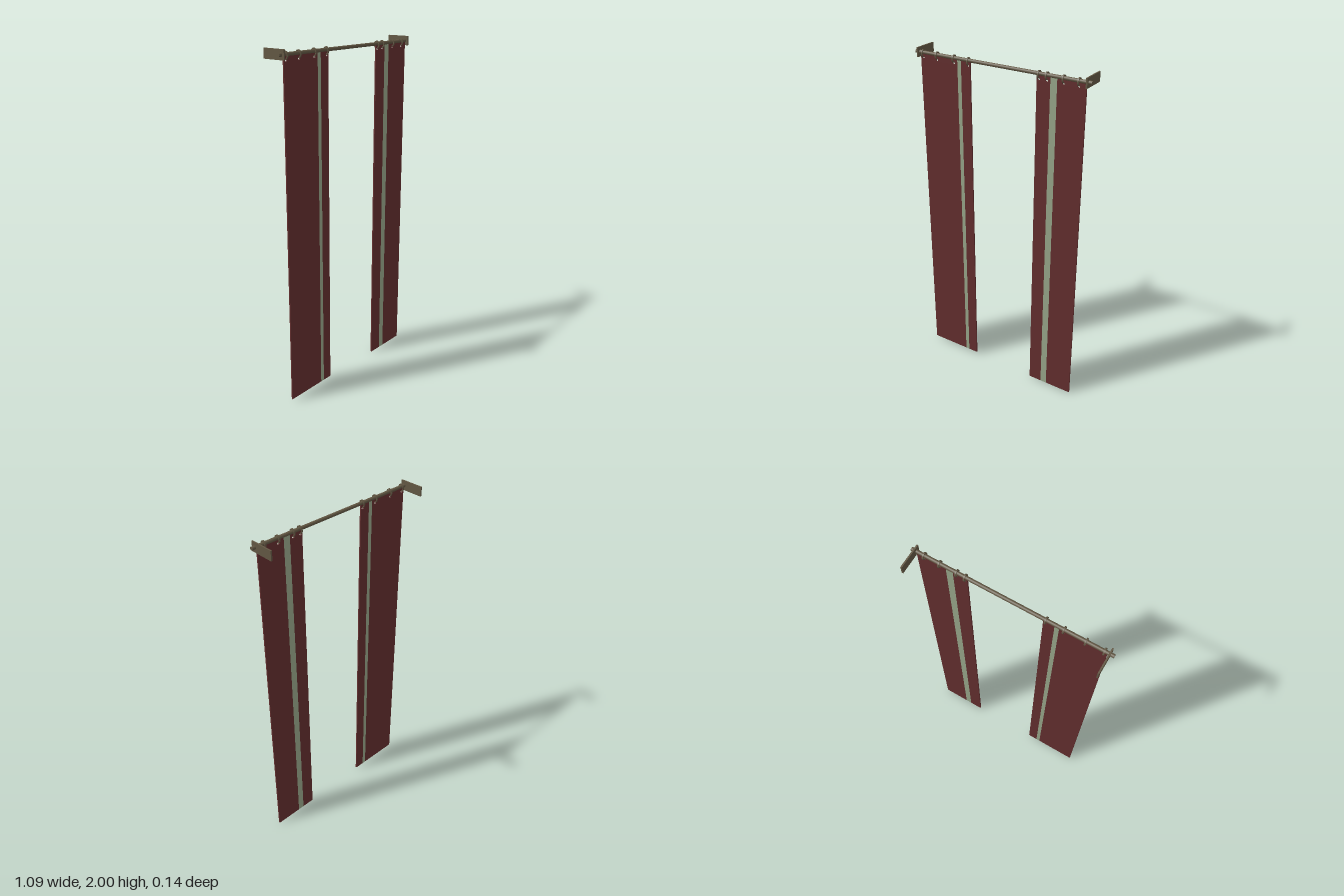
import * as THREE from 'three';

export function createModel() {
  const model = new THREE.Group();
  model.name = 'curtains';

  const cloth = new THREE.MeshStandardMaterial({ color: 0x622e2e });
  cloth.name = 'dark red cloth';
  const trim = new THREE.MeshStandardMaterial({ color: 0x95a488 });
  trim.name = 'sage stripe';
  const metal = new THREE.MeshStandardMaterial({ color: 0x625743 });
  metal.name = 'bronze metal';

  const Z = 0.05;          // depth of the rod and cloth
  const THICK = 0.008;     // cloth thickness
  const TOP = 1.964;       // top edge of the cloth
  const HOLE_Y = 1.945;

  const add = (parent, name, geometry, material, x = 0, y = 0, z = 0) => {
    const mesh = new THREE.Mesh(geometry, material);
    mesh.name = name;
    mesh.position.set(x, y, z);
    parent.add(mesh);
    return mesh;
  };

  // Rod
  const rodGeometry = new THREE.CylinderGeometry(0.01, 0.01, 1.09, 16);
  rodGeometry.rotateZ(Math.PI / 2);
  add(model, 'rod', rodGeometry, metal, 0, 1.973, Z);

  // Wall brackets
  for (const side of [-1, 1]) {
    add(model, side > 0 ? 'leftBracket' : 'rightBracket',
      new THREE.BoxGeometry(0.008, 0.054, 0.142), metal, side * 0.522, 1.973, 0);
  }

  // Flat oval ring, threaded over the rod and through the cloth
  const ringShape = new THREE.Shape();
  ringShape.absellipse(0, 0, 0.0185, 0.022, 0, Math.PI * 2);
  const ringHole = new THREE.Path();
  ringHole.absellipse(0, 0, 0.0135, 0.016, 0, Math.PI * 2, true);
  ringShape.holes.push(ringHole);
  const ringGeometry = new THREE.ExtrudeGeometry(ringShape, { depth: 0.008, bevelEnabled: false, curveSegments: 20 });
  ringGeometry.translate(0, 0, -0.004);
  ringGeometry.rotateY(Math.PI / 2);

  // Strip of fabric from x0 to x1, with eyelets where rings fall within it
  const strip = (x0, x1, bottom, rings) => {
    const shape = new THREE.Shape();
    shape.moveTo(x0, bottom);
    shape.lineTo(x1, bottom);
    shape.lineTo(x1, TOP);
    shape.lineTo(x0, TOP);
    shape.closePath();
    for (const x of rings.filter(r => r > x0 && r < x1)) {
      const eyelet = new THREE.Path();
      eyelet.absarc(x, HOLE_Y, 0.0075, 0, Math.PI * 2, true);
      shape.holes.push(eyelet);
    }
    return new THREE.ExtrudeGeometry(shape, { depth: THICK, bevelEnabled: false, curveSegments: 10 });
  };

  // Two panels: edges run outer cloth, stripe, inner cloth
  const panels = [
    { name: 'rightCurtain', edges: [-0.51, -0.262, -0.238, -0.178], bottom: 0.013, rings: [-0.495, -0.4, -0.286, -0.191] },
    { name: 'leftCurtain', edges: [0.233, 0.313, 0.352, 0.515], bottom: 0, rings: [0.245, 0.292, 0.387, 0.473] },
  ];
  for (const { name, edges, bottom, rings } of panels) {
    const panel = new THREE.Group();
    panel.name = name;
    model.add(panel);
    for (let i = 0; i < 3; i++) {
      const isStripe = i === 1;
      add(panel, isStripe ? 'stripe' : 'cloth', strip(edges[i], edges[i + 1], bottom, rings),
        isStripe ? trim : cloth, 0, 0, Z - THICK / 2);
    }
    for (const x of rings) add(panel, 'ring', ringGeometry, metal, x, 1.968, Z);
  }

  return model;
}
